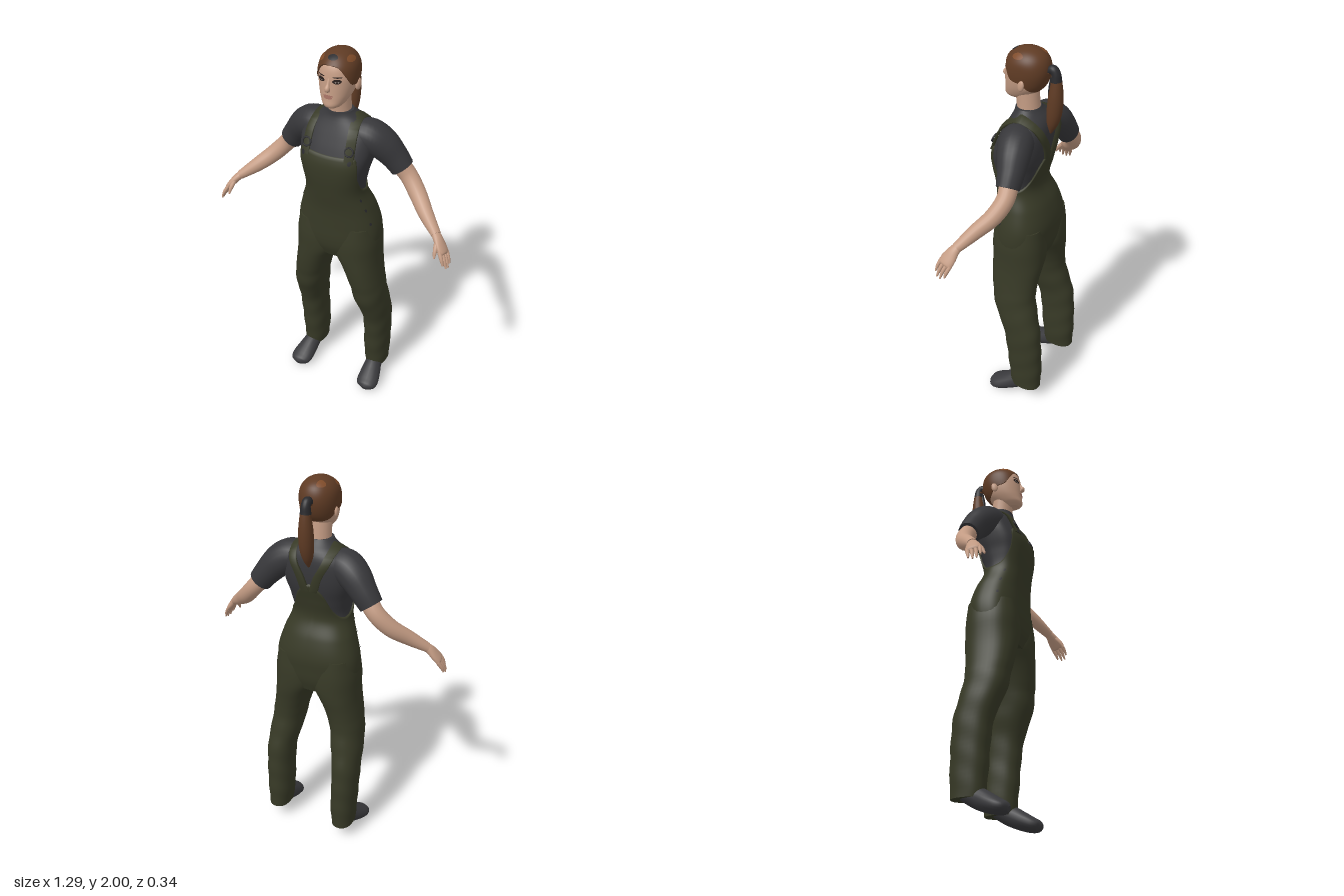
import * as THREE from 'three';

const mat = (name, color, side = THREE.FrontSide) => {
  const m = new THREE.MeshStandardMaterial({ color, side });
  m.name = name;
  return m;
};
const V = (x, y, z) => new THREE.Vector3(x, y, z);
const X = V(1, 0, 0), Y = V(0, 1, 0), Z = V(0, 0, 1);

// Skin a surface over closed rings, with optional flat caps
function loft(rings, caps = true) {
  const n = rings[0].length, pos = [], idx = [];
  const push = p => (pos.push(p.x, p.y, p.z), pos.length / 3 - 1);
  rings.forEach(r => r.forEach(push));
  for (let i = 0; i < rings.length - 1; i++) for (let j = 0; j < n; j++) {
    const k = (j + 1) % n, a = i * n + j, b = i * n + k;
    idx.push(a, b, b + n, a, b + n, a + n);
  }
  if (caps) [rings[0], rings[rings.length - 1]].forEach((r, end) => {
    const c = push(r.reduce((s, p) => s.add(p), V(0, 0, 0)).divideScalar(n));
    r.forEach(push);
    for (let j = 0; j < n; j++) {
      const a = c + 1 + j, b = c + 1 + (j + 1) % n;
      idx.push(c, ...(end ? [a, b] : [b, a]));
    }
  });
  return surface(pos, idx);
}
function surface(pos, idx) {
  const g = new THREE.BufferGeometry();
  g.setAttribute('position', new THREE.Float32BufferAttribute(pos, 3));
  g.setIndex(idx);
  g.computeVertexNormals();
  return g;
}

// Smooth lookup in a table whose first column is the key
function at(t, k) {
  let i = 0;
  while (i < t.length - 2 && k > t[i + 1][0]) i++;
  const a = t[i], b = t[i + 1], h = b[0] - a[0], u = Math.min(1, Math.max(0, (k - a[0]) / h));
  const slope = (q, c) => {
    const p = t[Math.max(0, q - 1)], r = t[Math.min(t.length - 1, q + 1)];
    return (r[c] - p[c]) / (r[0] - p[0]);
  };
  return a.slice(1).map((_, m) => {
    const c = m + 1, u2 = u * u, u3 = u2 * u;
    return (2 * u3 - 3 * u2 + 1) * a[c] + (u3 - 2 * u2 + u) * h * slope(i, c)
      + (3 * u2 - 2 * u3) * b[c] + (u3 - u2) * h * slope(i + 1, c);
  });
}

// Body surface point: angle 0 is the front; table rows are [y, halfWidth, zFront, zBack, power]
const spow = (v, e) => Math.sign(v) * Math.abs(v) ** e;
const body = table => (a, y, off = 0) => {
  const [rx, zf, zb, n] = at(table, y);
  return V((rx + off) * spow(Math.sin(a), 2 / n), y,
    (zf + zb) / 2 + ((zf - zb) / 2 + off) * spow(Math.cos(a), 2 / n));
};
// Rings between two heights, either of which may depend on the angle
function wrap(P, low, high, rows, off = 0, cols = 56, ease = 1) {
  const f = h => (typeof h === 'function' ? h : () => h), lo = f(low), hi = f(high);
  return Array.from({ length: rows + 1 }, (_, i) => Array.from({ length: cols }, (_, j) => {
    const a = j / cols * Math.PI * 2, fold = Math.min(a, Math.PI * 2 - a);
    const v = 1 - (1 - i / rows) ** ease;
    return P(a, lo(fold) + (hi(fold) - lo(fold)) * v, off);
  }));
}
// Thin elliptical patch lying on a body surface
function patch(P, a0, y0, da, dy, off) {
  const pos = [...P(a0, y0, off).toArray()], idx = [], n = 20, R = 4;
  for (let r = 1; r <= R; r++) for (let j = 0; j < n; j++) {
    const f = j / n * Math.PI * 2;
    pos.push(...P(a0 + da * r / R * Math.cos(f), y0 + dy * r / R * Math.sin(f), off).toArray());
    const a = 1 + (r - 1) * n + j, b = 1 + (r - 1) * n + (j + 1) % n;
    if (r === 1) idx.push(0, a, b);
    else idx.push(a - n, a, b, a - n, b, b - n);
  }
  return surface(pos, idx);
}
// Tapering limb through [x, y, z, r1, r2]
function limb(pts, up = Z, s = 1, rows = 20, cols = 20) {
  const path = new THREE.CatmullRomCurve3(pts.map(p => V(p[0] * s, p[1], p[2])));
  const table = pts.map((p, i) => [i / (pts.length - 1), p[3], p[4] ?? p[3]]);
  return loft(Array.from({ length: rows + 1 }, (_, i) => {
    const t = i / rows, c = path.getPoint(t), d = path.getTangent(t);
    const b = d.clone().cross(up).normalize(), n = d.clone().cross(b), [r1, r2] = at(table, t);
    return Array.from({ length: cols }, (_, j) => {
      const f = j / cols * Math.PI * 2;
      return c.clone().addScaledVector(b, r1 * Math.cos(f)).addScaledVector(n, r2 * Math.sin(f));
    });
  }));
}

const TORSO = [
  [.9, .16, .1, -.1, 2.3], [.96, .203, .124, -.12, 2.4], [1.02, .214, .132, -.128, 2.4], [1.1, .208, .132, -.132, 2.4],
  [1.2, .18, .134, -.108, 2.4], [1.3, .147, .148, -.066, 2.4], [1.4, .157, .16, -.082, 2.7],
  [1.47, .175, .158, -.1, 2.8], [1.53, .186, .138, -.108, 2.7], [1.6, .183, .108, -.108, 2.5],
  [1.64, .155, .09, -.1, 2.3], [1.67, .115, .077, -.083, 2.1], [1.69, .082, .07, -.062, 2],
  [1.708, .07, .068, -.05, 2]];
const HEAD = [
  [1.745, .028, .108, .03, 2], [1.758, .046, .125, 0, 2.1], [1.79, .066, .123, -.04, 2.2],
  [1.82, .078, .121, -.07, 2.2], [1.86, .086, .119, -.088, 2.2], [1.9, .088, .116, -.095, 2.2],
  [1.94, .083, .106, -.09, 2.1], [1.97, .066, .083, -.073, 2], [1.99, .039, .051, -.042, 2],
  [2, .006, .015, -.004, 2]];
// [y, xInner, xOuter, zFront, zBack]
const LEG = [
  [.09, .14, .255, 0, -.163], [.2, .13, .26, .012, -.17], [.4, .13, .266, .03, -.165],
  [.5, .122, .266, .052, -.155], [.6, .1, .261, .095, -.13], [.7, .083, .25, .116, -.115],
  [.8, .052, .236, .13, -.122], [.86, .025, .229, .135, -.132], [.92, -.01, .226, .138, -.137],
  [1, -.01, .224, .138, -.136], [1.1, .02, .208, .125, -.125]];
const BIB_TOP = [[0, 1.515], [.66, 1.52], [.78, 1.51], [1.05, 1.405], [1.45, 1.325], [2, 1.31], [2.5, 1.355], [2.9, 1.45], [3.15, 1.5]];
const HAIRLINE = [[0, 1.955], [.5, 1.945], [.9, 1.9], [1.2, 1.862], [1.6, 1.85], [2.2, 1.812], [3.15, 1.795]];

export function createModel() {
  const shirt = mat('charcoal shirt', 0x37373a), olive = mat('olive cloth', 0x373926);
  const skin = mat('skin', 0xc49c84), hair = mat('auburn hair', 0x5f3b24, THREE.DoubleSide);
  const dark = mat('dark trim', 0x29292c), shoe = mat('shoe grey', 0x3a3a3d);
  const lash = mat('eye makeup', 0x2a201d), white = mat('eye white', 0xb0a69e);
  const lip = mat('lips', 0xa87466), lightHair = mat('light hair', 0x7d4a28);
  const root = new THREE.Group();
  const add = (name, geo, m) => {
    const mesh = new THREE.Mesh(geo, m);
    mesh.name = name;
    root.add(mesh);
    return mesh;
  };
  const torso = body(TORSO), head = body(HEAD);

  // Shirt body and overalls with a bib that rises at the front and back
  add('shirtBody', loft(wrap(torso, 1.22, 1.708, 32)), shirt);
  const bibTop = a => at(BIB_TOP, a)[0];
  const bib = wrap(torso, .9, bibTop, 40, .008, 96);
  bib.push(wrap(torso, .9, bibTop, 1, -.004, 96)[1]);
  add('overallsBody', loft(bib), olive);

  // Head, neck, hair and ponytail
  add('neck', limb([[0, 1.66, .005, .058, .058], [0, 1.73, .01, .056, .056], [0, 1.83, .02, .056, .058]]), skin);
  add('head', loft(wrap(head, 1.745, 1.99, 28)), skin);
  add('hairCap', loft(wrap(head, a => at(HAIRLINE, a)[0], 2, 20, .006, 56, 1.7)), hair);
  add('hairFrontPatch', patch(head, 0, 1.981, .4, .009, .008), dark);
  for (const [a, y] of [[1.3, 1.972], [-2.5, 1.98], [-1, 1.965]])
    add('hairHighlight', patch(head, a, y, .35, .012, .008), lightHair);
  add('ponytail', limb([[0, 1.9, -.09, .02, .02], [0, 1.912, -.122, .02, .02], [0, 1.86, -.134, .026, .026],
    [0, 1.78, -.133, .036, .035], [0, 1.7, -.126, .037, .035], [0, 1.64, -.117, .027, .026],
    [0, 1.59, -.108, .006, .006]], X, 1, 30), hair);
  add('hairTie', limb([[0, 1.905, -.095, .02], [0, 1.913, -.118, .022], [0, 1.895, -.131, .023], [0, 1.86, -.134, .027]], X), dark);
  add('darkStrand', limb([[0, 1.88, -.118, .012], [0, 1.82, -.105, .01], [0, 1.76, -.097, .004]], X), dark);

  // Face
  add('nose', limb([[0, 1.895, .111, .006], [0, 1.868, .122, .008], [0, 1.85, .13, .013], [0, 1.839, .121, .01]]), skin);
  add('upperLip', patch(head, 0, 1.814, .3, .005, .004), lip);
  add('lowerLip', patch(head, 0, 1.806, .25, .006, .005), lip);

  for (const s of [-1, 1]) {
    add('eyeMakeup', patch(head, s * .42, 1.886, .24, .011, .002), lash);
    add('eyeWhite', patch(head, s * .42, 1.883, .12, .004, .003), white);
    add('iris', patch(head, s * .42, 1.883, .055, .004, .004), lash);
    add('brow', patch(head, s * .44, 1.905, .24, .003, .003), lash);
    const ear = add('ear', new THREE.SphereGeometry(1, 16, 12), skin);
    ear.scale.set(.01, .028, .018);
    ear.position.set(s * .09, 1.842, 0);
    ear.rotation.set(-.2, s * -.3, 0);

    // Sleeve and arm
    add('sleeve', limb([[.09, 1.59, 0, .075, .08], [.15, 1.585, -.01, .083, .085], [.205, 1.55, -.028, .08, .08],
      [.26, 1.49, -.045, .068, .066], [.305, 1.432, -.052, .06, .056]], Z, s), shirt);
    add('arm', limb([[.28, 1.46, -.048, .047], [.335, 1.395, -.058, .044], [.4, 1.325, -.03, .043, .042],
      [.47, 1.265, .025, .037, .036], [.55, 1.205, .08, .023, .026]], Z, s), skin);

    // Hand with four fingers and a thumb
    add('palm', limb([[.53, 1.22, .067, .018, .02], [.56, 1.195, .086, .02, .028], [.585, 1.165, .1, .018, .037],
      [.605, 1.138, .11, .015, .037], [.61, 1.13, .113, .008, .03]], Z, s), skin);
    [-.03, -.01, .01, .03].forEach((k, i) => {
      const l = [.95, 1.15, 1.1, .85][i], b = [.6 + .28 * k, 1.145 - .355 * k, .108 - .89 * k];
      add('finger', limb([[...b, .01], [b[0] + .02 * l, b[1] - .035 * l, b[2] + .014 * l, .009],
        [b[0] + .033 * l, b[1] - .066 * l, b[2] + .022 * l, .004]], Z, s, 8, 10), skin);
    });
    add('thumb', limb([[.567, 1.185, .11, .012], [.573, 1.155, .138, .011], [.577, 1.122, .157, .005]], Z, s, 8, 10), skin);

    // Trouser leg with soft folds below the knee
    const rows = 44, cols = 36;
    add('trouserLeg', loft(Array.from({ length: rows + 1 }, (_, i) => {
      const y = .09 + 1.01 * i / rows, [xi, xo, zf, zb] = at(LEG, y);
      return Array.from({ length: cols }, (_, j) => {
        const a = j / cols * Math.PI * 2;
        const w = 1 + (y < .72 ? .018 : 0) * Math.sin(y * 48 + Math.cos(a) * 2.5);
        return V(s * (xi + xo) / 2 + (xo - xi) / 2 * w * spow(Math.sin(a), .88), y,
          (zf + zb) / 2 + (zf - zb) / 2 * w * spow(Math.cos(a), .88));
      });
    })), olive);
    add('shoe', limb([[.195, .135, -.13, .025, .022], [.195, .122, -.1, .045, .038], [.2, .092, -.03, .046, .05],
      [.208, .062, .03, .056, .046], [.214, .041, .08, .061, .038], [.216, .032, .112, .05, .029],
      [.216, .026, .128, .018, .014]], Y, s, 24), shoe);

    // Shoulder strap laid over the shirt, meeting its twin at the back centre
    const line = new THREE.CatmullRomCurve3([[.115, 1.5, 1], [.113, 1.56, 1], [.11, 1.61, 1], [.105, 1.645, .9],
      [.1, 1.67, 0], [.096, 1.645, -.9], [.08, 1.6, -1], [.048, 1.54, -1], [.022, 1.46, -1]].map(p => V(...p)));
    add('strap', loft(Array.from({ length: 41 }, (_, i) => {
      const p = line.getPoint(i / 40), [rx, zf, zb, n] = at(TORSO, p.y);
      const edge = (dx, off) => {
        const x = p.x + dx, q = Math.max(0, 1 - (Math.abs(x) / (rx + .012)) ** n) ** (1 / n);
        return V(s * x, p.y + (off - dx * .6) * (1 - Math.abs(p.z)),
          (zf + zb) / 2 + p.z * ((zf - zb) / 2 * q + off));
      };
      const r = [edge(.02, .014), edge(.02, 0), edge(-.02, 0), edge(-.02, .014)];
      return s > 0 ? r : r.reverse();
    })), olive);

    // Strap buckle and hip buttons
    const ring = add('buckleRing', new THREE.TorusGeometry(.021, .0045, 8, 20), dark);
    ring.position.set(s * .112, 1.555, torso(s * .56, 1.55, .018).z);
    ring.rotation.x = -.4;
    add('buckleButton', patch(torso, s * .54, 1.505, .06, .012, .017), dark);
    for (const y of [1.13, 1.21, 1.27]) add('hipButton', patch(torso, s * 1.2, y, .05, .009, .011), dark);
  }
  return root;
}
